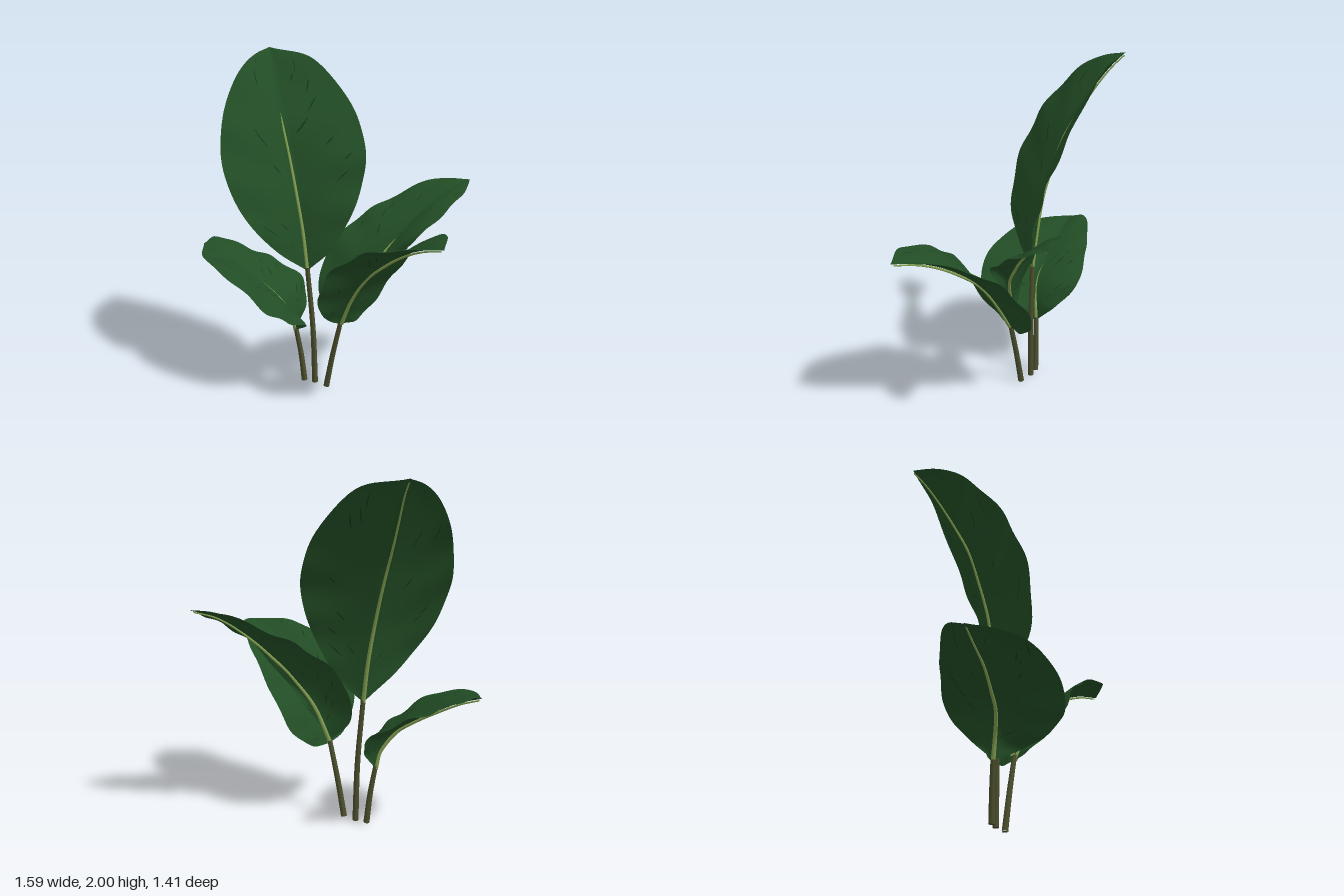
import * as THREE from 'three';

const mat = (name, color, side = THREE.FrontSide) => {
  const m = new THREE.MeshStandardMaterial({ color, side });
  m.name = name;
  return m;
};

const curve = (pts) => new THREE.CatmullRomCurve3(pts.map((p) => new THREE.Vector3(...p)));

// Small seeded generator for the vein marks
function seeded(seed) {
  return () => {
    seed = (seed * 16807) % 2147483647;
    return seed / 2147483647;
  };
}

// Grid of points fn(u, v) turned into a smooth surface
function gridGeometry(nu, nv, fn) {
  const pos = [], idx = [];
  for (let i = 0; i <= nu; i++)
    for (let j = 0; j <= nv; j++) pos.push(...fn(i / nu, j / nv).toArray());
  for (let i = 0; i < nu; i++)
    for (let j = 0; j < nv; j++) {
      const a = i * (nv + 1) + j, b = a + nv + 1;
      idx.push(a, a + 1, b, a + 1, b + 1, b);
    }
  const g = new THREE.BufferGeometry();
  g.setAttribute('position', new THREE.Float32BufferAttribute(pos, 3));
  g.setIndex(idx);
  g.computeVertexNormals();
  return g;
}

// Round tube whose radius runs from r0 to r1 along centre(t)
function taperedTube(centre, r0, r1, steps) {
  const path = new THREE.CatmullRomCurve3(
    Array.from({ length: steps + 1 }, (_, i) => centre(i / steps)));
  const g = new THREE.TubeGeometry(path, steps, 1, 8, false);
  const p = g.attributes.position, v = new THREE.Vector3();
  for (let i = 0; i <= steps; i++) {
    const c = path.getPointAt(i / steps), r = r0 + (r1 - r0) * (i / steps);
    for (let j = 0; j <= 8; j++) {
      const k = i * 9 + j;
      v.fromBufferAttribute(p, k).sub(c).multiplyScalar(r).add(c);
      p.setXYZ(k, v.x, v.y, v.z);
    }
  }
  g.computeVertexNormals();
  return g;
}

// Each leaf: midrib and its two rims, from base to tip, at matching stations;
// ribTop is how far along the midrib shows on the upper face
const LEAVES = {
  tallLeaf: {
    rib: [[-.18, .72, -.15], [-.2, .95, -.18], [-.23, 1.17, -.22], [-.26, 1.38, -.29], [-.29, 1.57, -.37], [-.31, 1.77, -.5], [-.32, 1.92, -.62], [-.33, 2, -.71]],
    rimA: [[-.18, .72, -.15], [-.37, .87, -.08], [-.55, 1.08, -.07], [-.66, 1.34, -.15], [-.66, 1.57, -.26], [-.59, 1.79, -.41], [-.46, 1.95, -.57], [-.33, 2, -.71]],
    rimB: [[-.18, .72, -.15], [-.05, .84, -.12], [.06, 1.02, -.11], [.15, 1.24, -.14], [.18, 1.45, -.2], [.12, 1.68, -.32], [-.08, 1.94, -.52], [-.33, 2, -.71]],
    ribTop: .52, seed: 11,
  },
  frontLeaf: {
    rib: [[0, .43, .01], [.04, .59, .09], [.09, .72, .17], [.17, .85, .28], [.26, .96, .42], [.34, 1.03, .56], [.42, 1.07, .7]],
    rimA: [[0, .43, .01], [.1, .43, -.04], [.23, .54, -.09], [.35, .77, .01], [.45, .97, .2], [.49, 1.09, .5], [.42, 1.07, .7]],
    rimB: [[0, .43, .01], [-.09, .48, .08], [-.17, .64, .22], [-.13, .83, .31], [.01, .98, .45], [.17, 1.06, .64], [.42, 1.07, .7]],
    ribTop: .42, seed: 23,
  },
  leftLeaf: {
    rib: [[0, .45, 0], [.09, .66, .02], [.2, .81, .04], [.32, .95, .03], [.48, 1.1, 0], [.64, 1.21, -.04], [.79, 1.26, -.08]],
    rimA: [[0, .45, 0], [-.12, .59, -.06], [-.06, .84, -.13], [.12, 1.02, -.18], [.32, 1.13, -.2], [.6, 1.25, -.18], [.79, 1.26, -.08]],
    rimB: [[0, .45, 0], [.1, .6, .02], [.23, .77, .06], [.43, 1, .17], [.6, 1.13, .12], [.74, 1.22, .01], [.79, 1.26, -.08]],
    ribTop: .38, seed: 37,
  },
  rightLeaf: {
    rib: [[-.25, .33, -.19], [-.28, .45, -.19], [-.36, .56, -.21], [-.46, .64, -.27], [-.57, .71, -.34], [-.68, .78, -.43], [-.78, .82, -.5]],
    rimA: [[-.25, .33, -.19], [-.2, .41, -.04], [-.31, .48, .09], [-.45, .57, .14], [-.63, .72, .02], [-.79, .8, -.25], [-.78, .82, -.5]],
    rimB: [[-.25, .33, -.19], [-.17, .46, -.3], [-.18, .59, -.43], [-.35, .7, -.51], [-.52, .77, -.56], [-.7, .84, -.58], [-.78, .82, -.5]],
    ribTop: .1, seed: 53,
  },
};

const STEMS = {
  tallStem: [[-.14, 0, -.14], [-.15, .35, -.14], [-.18, .74, -.15]],
  frontStem: [[-.08, 0, -.07], [-.045, .22, -.035], [0, .46, .01]],
  rightStem: [[-.2, 0, -.18], [-.22, .18, -.185], [-.25, .35, -.19]],
};

function makeLeaf(def, mats) {
  const rib = curve(def.rib), rimA = curve(def.rimA), rimB = curve(def.rimB);

  // Point on the blade: t from base to tip, s from -1 (rim A) to 1 (rim B)
  const flat = (t, s) => rib.getPoint(t).lerp((s < 0 ? rimA : rimB).getPoint(t), Math.abs(s));
  const upAt = (t) => {
    const m = THREE.MathUtils.clamp(t, .05, .93);
    const across = flat(m, .6).sub(flat(m, -.6));
    return across.cross(flat(m + .02, 0).sub(flat(m - .02, 0))).normalize();
  };
  const blade = (t, s) => {
    const a = Math.abs(s), fade = Math.sin(Math.PI * t);
    const wave = Math.sin(t * 34 + Math.sign(s) * 1.3 - a * 5) * .009 * a * a;
    return flat(t, s).addScaledVector(upAt(t), fade * (wave + .015 * Math.sin(Math.PI * a)));
  };

  const group = new THREE.Group();
  const add = (name, geo, m) => {
    const mesh = new THREE.Mesh(geo, m);
    mesh.name = name;
    group.add(mesh);
  };
  add('blade', gridGeometry(56, 24, (u, v) => blade(u, v * 2 - 1)), mats.leaf);

  // Midrib sinks to the underside in the outer part
  add('midrib', taperedTube((t) => rib.getPoint(t * .98)
    .addScaledVector(upAt(t), -.008 * THREE.MathUtils.smoothstep(t, def.ribTop, def.ribTop + .15)),
  .013, .004, 40), mats.rib);

  // Thin dark side veins on both faces
  const rnd = seeded(def.seed);
  for (let k = 0; k < 32; k++) {
    const side = k % 2 ? 1 : -1;
    const t0 = .1 + .72 * rnd(), s0 = .12 + .66 * rnd();
    const len = .08 + .13 * rnd(), w = .003 + .002 * rnd();
    const face = k % 4 < 2 ? 1 : -1;
    add('vein', gridGeometry(5, 1, (u, v) => {
      const t = t0 + len * .4 * u;
      const width = w * Math.sin(Math.PI * u) * (v * 2 - 1);
      return blade(t + width, side * (s0 + len * u)).addScaledVector(upAt(t), face * .004);
    }), mats.vein);
  }
  return group;
}

export function createModel() {
  const mats = {
    leaf: mat('leaf green', 0x224d25, THREE.DoubleSide),
    vein: mat('dark vein green', 0x15331a, THREE.DoubleSide),
    rib: mat('pale rib green', 0x7f9a4e),
    stem: mat('olive stem', 0x4a4d2c),
  };
  const model = new THREE.Group();
  model.name = 'leafyPlant';

  for (const [name, def] of Object.entries(LEAVES)) {
    const leaf = makeLeaf(def, mats);
    leaf.name = name;
    model.add(leaf);
  }

  // Stems with a closed foot
  for (const [name, pts] of Object.entries(STEMS)) {
    const path = curve(pts);
    const stem = new THREE.Mesh(taperedTube((t) => path.getPoint(t), .018, .014, 16), mats.stem);
    stem.name = name;
    const foot = new THREE.Mesh(new THREE.CircleGeometry(.018, 8), mats.stem);
    foot.name = name + 'Foot';
    foot.rotation.x = Math.PI / 2;
    foot.position.set(...pts[0]);
    model.add(stem, foot);
  }
  return model;
}
